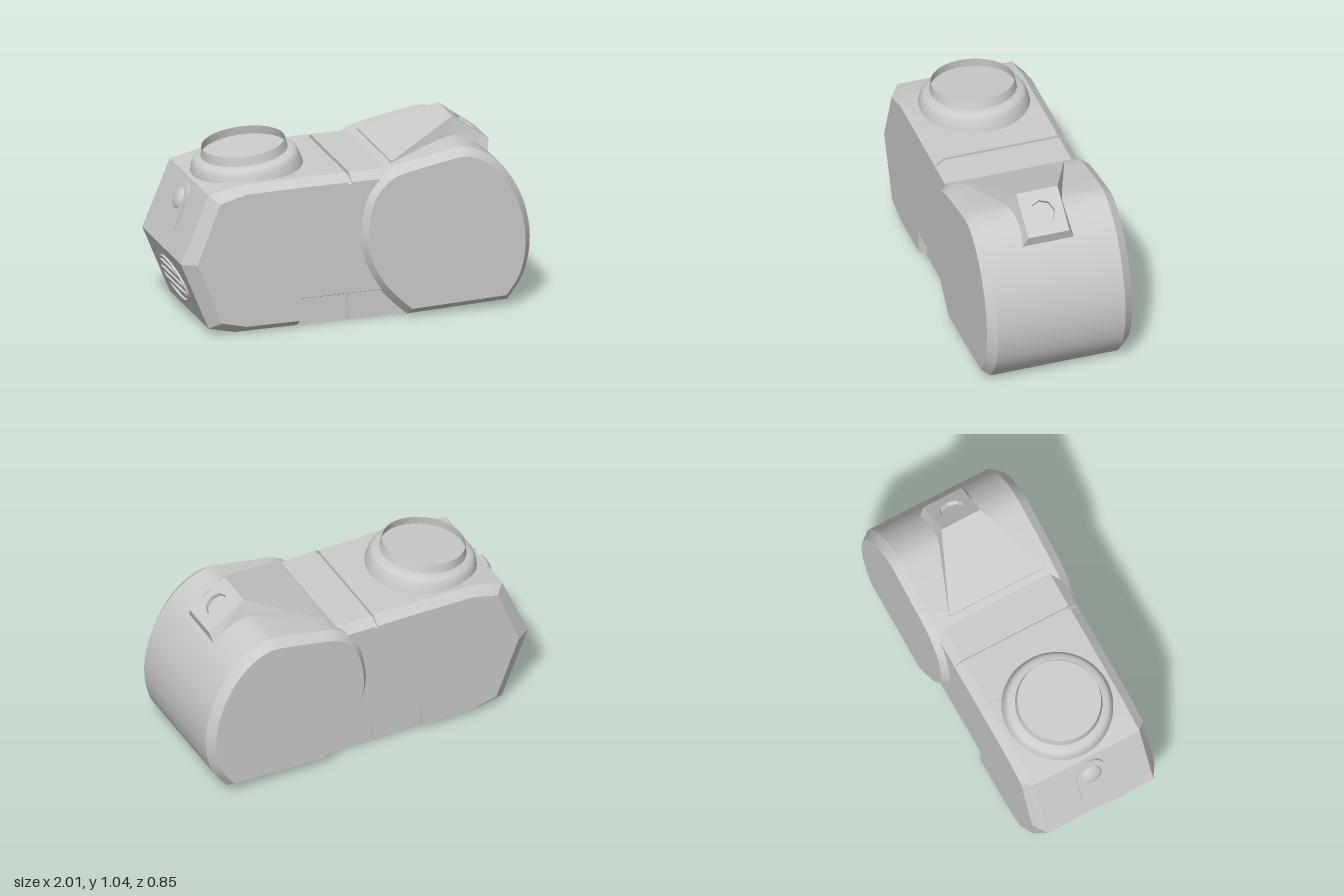
import * as THREE from 'three';
import { toCreasedNormals } from 'three/addons/utils/BufferGeometryUtils.js';

const material = new THREE.MeshStandardMaterial({ color: 0xcccccc });
const thin = new THREE.MeshStandardMaterial({ color: 0xcccccc, side: THREE.DoubleSide });
const V = (x, y) => new THREE.Vector2(x, y);

function add(parent, name, geometry, mat = material) {
  const mesh = new THREE.Mesh(geometry, mat);
  mesh.name = name;
  parent.add(mesh);
  return mesh;
}

function fromTriangles(points, crease) {
  const g = new THREE.BufferGeometry().setFromPoints(points);
  return toCreasedNormals(g, crease);
}

// Prism along z whose front and back rims are chamfered from outer to inner outline
function chamferedPrism(outer, inner, half, chamfer) {
  const loops = [[inner, -half], [outer, chamfer - half], [outer, half - chamfer], [inner, half]]
    .map(([pts, z]) => pts.map(p => new THREE.Vector3(p.x, p.y, z)));
  const tris = [];
  for (let k = 0; k < 3; k++) {
    outer.forEach((_, i) => {
      const j = (i + 1) % outer.length;
      const a = loops[k][i], b = loops[k][j], c = loops[k + 1][j], d = loops[k + 1][i];
      tris.push(a, b, c, a, c, d);
    });
  }
  for (const [a, b, c] of THREE.ShapeUtils.triangulateShape(inner, [])) {
    tris.push(loops[3][a], loops[3][b], loops[3][c], loops[0][c], loops[0][b], loops[0][a]);
  }
  return fromTriangles(tris, 0.35);
}

// Mitred inward offset of a counter-clockwise outline
function inset(pts, d) {
  const n = pts.length;
  return pts.map((p, i) => {
    const t1 = p.clone().sub(pts[(i + n - 1) % n]).normalize();
    const t2 = pts[(i + 1) % n].clone().sub(p).normalize();
    const n1 = V(-t1.y, t1.x), n2 = V(-t2.y, t2.x);
    return p.clone().addScaledVector(n1.clone().add(n2), d / (1 + n1.dot(n2)));
  });
}

// Group centred on a sloped face: local y runs a to b, local z points out, local x is z
function faceFrame(parent, name, a, b, z = 0) {
  const t = b.clone().sub(a).normalize();
  const g = new THREE.Group();
  g.name = name;
  g.applyMatrix4(new THREE.Matrix4().makeBasis(
    new THREE.Vector3(0, 0, 1), new THREE.Vector3(t.x, t.y, 0), new THREE.Vector3(-t.y, t.x, 0)));
  g.position.set((a.x + b.x) / 2, (a.y + b.y) / 2, z);
  parent.add(g);
  return g;
}

// Mirrored cross-section of the middle body, extruded along x
function bodySection(halfPoints, x0, x1) {
  const mirrored = halfPoints.map(([x, y]) => V(-x, y)).reverse();
  const shape = new THREE.Shape([...halfPoints.map(([x, y]) => V(x, y)), ...mirrored]);
  return new THREE.ExtrudeGeometry(shape, { depth: x1 - x0, bevelEnabled: false })
    .rotateY(Math.PI / 2).translate(x0, 0, 0);
}

function buildBody(model) {
  // Wedge-ended part
  const outer = [V(-0.33, 0.005), V(-0.33, 0.855), V(-0.66, 0.85), V(-0.84, 0.81),
    V(-1, 0.43), V(-0.84, 0.04), V(-0.69, 0.005)];
  const inner = [V(-0.33, 0.045), V(-0.33, 0.815), V(-0.64, 0.81), V(-0.79, 0.77),
    V(-0.92, 0.43), V(-0.78, 0.08), V(-0.64, 0.045)];
  add(model, 'bodyEnd', chamferedPrism(outer, inner, 0.38, 0.05));

  // Middle part with undercut lower sides and a seam groove
  const full = [[0.33, 0.002], [0.33, 0.155], [0.38, 0.175], [0.38, 0.815], [0.33, 0.858]];
  const groove = [[0.32, 0.015], [0.33, 0.155], [0.38, 0.175], [0.38, 0.805], [0.32, 0.838]];
  add(model, 'bodyMiddle', bodySection(full, -0.33, -0.05));
  add(model, 'seam', bodySection(groove, -0.05, -0.032));
  add(model, 'bodyNeck', bodySection(full, -0.032, 0.4));
}

function buildHead(model) {
  const curve = new THREE.SplineCurve([
    V(0.87, 0.035), V(0.965, 0.18), V(1, 0.38), V(0.965, 0.59), V(0.87, 0.775), V(0.76, 0.885),
    V(0.64, 0.94), V(0.54, 0.937), V(0.37, 0.907), V(0.2, 0.868), V(0.1, 0.79), V(0.04, 0.68),
    V(0.012, 0.5), V(0.035, 0.36), V(0.1, 0.22), V(0.19, 0.11), V(0.29, 0.015)]);
  const outline = curve.getPoints(64);
  add(model, 'head', chamferedPrism(outline, inset(outline, 0.04), 0.418, 0.05));
}

function buildHood(model) {
  // Each section: top x, y, half width, then base x, y, half width
  const sections = [
    [0.22, 0.885, 0.295, 0.22, 0.85, 0.3],
    [0.63, 1.045, 0.12, 0.63, 0.9, 0.155],
    [0.84, 0.89, 0.118, 0.825, 0.83, 0.148]];
  const zc = 0.02;
  const rings = sections.map(([tx, ty, tw, bx, by, bw]) => [
    new THREE.Vector3(bx, by, zc + bw), new THREE.Vector3(tx, ty, zc + tw),
    new THREE.Vector3(tx, ty, zc - tw), new THREE.Vector3(bx, by, zc - bw)]);
  const tris = [];
  const quad = (a, b, c, d) => tris.push(a, b, c, a, c, d);
  for (let s = 0; s < 2; s++) {
    for (let i = 0; i < 3; i++) {
      if (s === 1 && i === 1) continue; // the sloped panel fills this side
      quad(rings[s][i], rings[s + 1][i], rings[s + 1][i + 1], rings[s][i + 1]);
    }
  }
  quad(...rings[0]);
  quad(...rings[2].slice().reverse());
  const hood = new THREE.Group();
  hood.name = 'hood';
  model.add(hood);
  add(hood, 'hoodShell', fromTriangles(tris, 0.2), thin);

  // Sloped panel with an octagonal recess
  const frame = faceFrame(hood, 'hoodPanel', V(0.63, 1.045), V(0.84, 0.89), zc);
  const panel = new THREE.Shape([V(-0.118, -0.1305), V(0.118, -0.1305), V(0.118, 0.1305), V(-0.118, 0.1305)]);
  const octagon = Array.from({ length: 8 }, (_, i) =>
    V(0.07 * Math.cos(i * Math.PI / 4), 0.07 * Math.sin(i * Math.PI / 4)));
  panel.holes.push(new THREE.Path(octagon));
  add(frame, 'panelFace', new THREE.ShapeGeometry(panel), thin);
  const wall = new THREE.CylinderGeometry(0.07, 0.07, 0.025, 8, 1, true).rotateY(Math.PI / 2).rotateX(Math.PI / 2);
  add(frame, 'recessWall', toCreasedNormals(wall, 0.3), thin).position.z = -0.0125;
  add(frame, 'recessFloor', new THREE.CircleGeometry(0.07, 8), thin).position.z = -0.025;
}

function buildCup(model) {
  const cup = new THREE.Group();
  cup.name = 'cup';
  cup.position.set(-0.515, 0.856, 0);
  cup.rotation.z = 0.12;
  model.add(cup);
  const flare = new THREE.SplineCurve([V(0.315, -0.06), V(0.305, 0), V(0.29, 0.045), V(0.27, 0.064), V(0.238, 0.073)]);
  add(cup, 'flare', new THREE.LatheGeometry(flare.getPoints(16), 64), thin);
  add(cup, 'rim', new THREE.LatheGeometry([V(0.241, 0.065), V(0.23, 0.125)], 64), thin);
  const floor = add(cup, 'cupFloor', new THREE.CircleGeometry(0.238, 64), thin);
  floor.rotation.x = -Math.PI / 2;
  floor.position.y = 0.075;
}

function buildEndDetails(model) {
  // Arched latch on the upper end face
  const latch = faceFrame(model, 'latch', V(-1, 0.43), V(-0.84, 0.81));
  const arch = new THREE.Shape();
  arch.moveTo(-0.09, -0.08);
  arch.lineTo(0.09, -0.08);
  arch.lineTo(0.09, 0.09);
  arch.absarc(0, 0.09, 0.09, 0, Math.PI, false);
  arch.closePath();
  add(latch, 'latchPlate', new THREE.ExtrudeGeometry(arch, { depth: 0.013, bevelEnabled: false, curveSegments: 16 }));
  const knob = add(latch, 'latchKnob', new THREE.SphereGeometry(0.06, 24, 16));
  knob.scale.z = 0.4;
  knob.position.set(0, 0.08, 0.01);

  // Oval grille on the lower end face
  const grille = faceFrame(model, 'grille', V(-0.84, 0.04), V(-1, 0.43));
  const ring = new THREE.Shape().absellipse(0, 0, 0.21, 0.135, 0, Math.PI * 2, false);
  ring.holes.push(new THREE.Path().absellipse(0, 0, 0.195, 0.12, 0, Math.PI * 2, true));
  add(grille, 'grilleRing', new THREE.ExtrudeGeometry(ring, { depth: 0.012, bevelEnabled: false, curveSegments: 32 }));
  for (const y of [-0.06, 0, 0.06]) {
    const width = 0.39 * Math.sqrt(1 - (y / 0.125) ** 2);
    add(grille, 'slat', new THREE.BoxGeometry(width, 0.03, 0.024)).position.y = y;
  }
}

export function createModel() {
  const group = new THREE.Group();
  group.name = 'model';
  const model = new THREE.Group();
  model.name = 'device';
  model.rotation.y = 0.013;
  group.add(model);
  buildBody(model);
  buildHead(model);
  buildHood(model);
  buildCup(model);
  buildEndDetails(model);
  return group;
}
